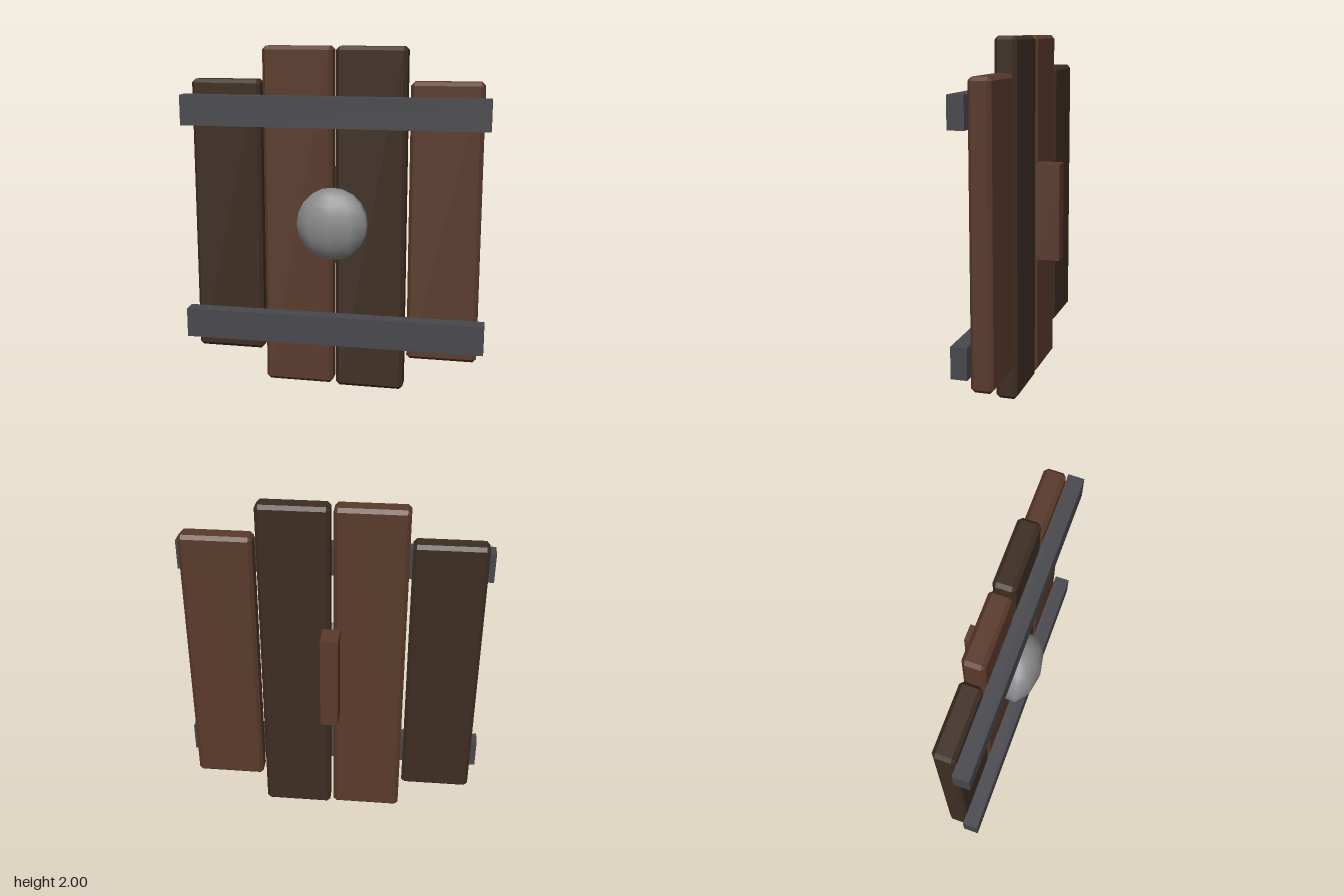
import * as THREE from 'three';
import { ConvexGeometry } from 'three/addons/geometries/ConvexGeometry.js';

const material = (name, color) => {
  const m = new THREE.MeshStandardMaterial({ color });
  m.name = name;
  return m;
};

// Box with every edge cut flat by c, given by its extents
function chamferBox(x0, x1, y0, y1, z0, z1, c) {
  const points = [];
  for (const sx of [0, 1]) for (const sy of [0, 1]) for (const sz of [0, 1]) {
    const corner = [sx ? x1 : x0, sy ? y1 : y0, sz ? z1 : z0];
    const inward = [sx ? -c : c, sy ? -c : c, sz ? -c : c];
    // Each corner becomes three points, one on each adjoining face
    for (let face = 0; face < 3; face++) {
      points.push(new THREE.Vector3(...corner.map((v, i) => (i === face ? v : v + inward[i]))));
    }
  }
  return new ConvexGeometry(points);
}

export function createModel() {
  const darkWood = material('dark wood', 0x3d2d22);
  const brownWood = material('brown wood', 0x5a3a2b);
  const iron = material('dark iron', 0x48474c);
  const steel = material('grey steel', 0x8a8a8c);

  const shield = new THREE.Group();
  shield.name = 'woodenShield';
  const add = (name, geometry, mat, x = 0, y = 0, z = 0) => {
    const mesh = new THREE.Mesh(geometry, mat);
    mesh.name = name;
    mesh.position.set(x, y, z);
    shield.add(mesh);
    return mesh;
  };

  // Four upright planks, the outer ones shorter
  const planks = [
    ['outerRightPlank', -0.835, -0.43, 0.2, 1.81, darkWood],
    ['innerRightPlank', -0.415, -0.01, 0.01, 2.0, brownWood],
    ['innerLeftPlank', 0.01, 0.41, 0.0, 2.0, darkWood],
    ['outerLeftPlank', 0.43, 0.835, 0.2, 1.81, brownWood],
  ];
  for (const [name, x0, x1, y0, y1, mat] of planks) {
    add(name, chamferBox(x0, x1, y0, y1, -0.072, 0.05, 0.02), mat);
  }

  // Iron straps across the front
  for (const [name, y] of [['lowerStrap', 0.37], ['upperStrap', 1.64]]) {
    add(name, new THREE.BoxGeometry(1.755, 0.173, 0.09), iron, 0, y, 0.093);
  }

  // Flattened domed boss, with a ring vertex facing forward
  const boss = new THREE.SphereGeometry(0.21, 10, 10);
  boss.rotateY(Math.PI / 2);
  boss.scale(1, 1, 0.58);
  add('boss', boss, steel, 0, 1.005, 0.098);

  // Grip block behind the planks
  add('grip', new THREE.BoxGeometry(0.1, 0.56, 0.138), brownWood, 0, 1.005, -0.151);

  return shield;
}
